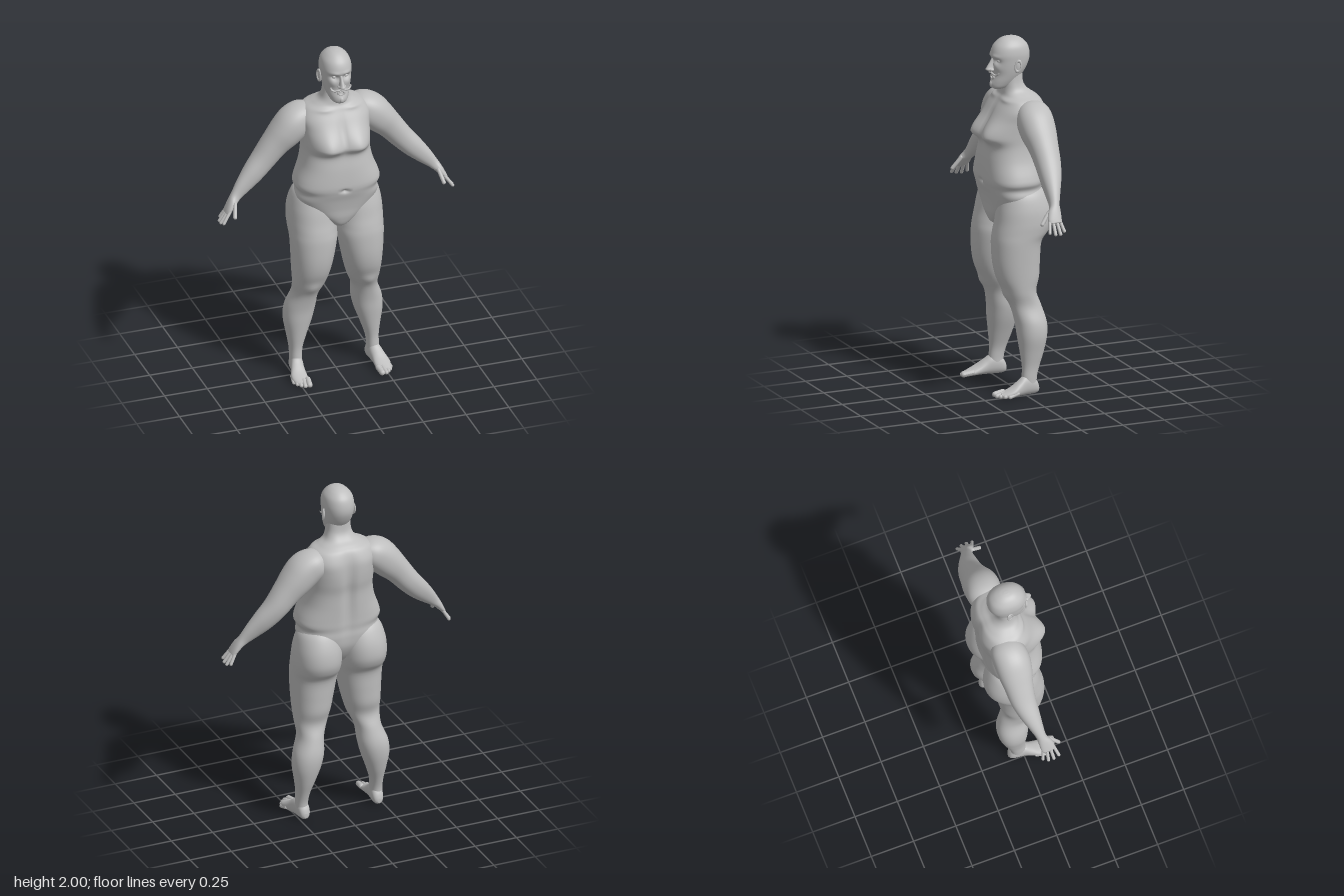
import * as THREE from 'three';

const skin = new THREE.MeshStandardMaterial({ color: 0xbebebe });
skin.name = 'plain grey';

// Catmull-Rom blend of two neighbouring stations
function blend(rows, t) {
  const i = Math.min(Math.floor(t), rows.length - 2), f = t - i;
  const at = (k) => rows[Math.max(0, Math.min(rows.length - 1, k))];
  const [a, b, c, d] = [at(i - 1), at(i), at(i + 1), at(i + 2)];
  return b.map((_, k) => b[k] + 0.5 * f * (c[k] - a[k] + f * (2 * a[k] - 5 * b[k] + 4 * c[k] - d[k]
    + f * (3 * (b[k] - c[k]) + d[k] - a[k]))));
}

// Skin over stations [x, y, halfWidth, zFront, zBack] listed top to bottom.
// Bumps are [side, x, y, spreadX, spreadUp, spreadDown, height], pushed along z.
function loft(rows, { seg = 40, steps = 5, power = 2.2, tilt = false, bumps = [] } = {}) {
  const n = (rows.length - 1) * steps, pos = [], index = [];
  const pw = (v) => Math.sign(v) * Math.abs(v) ** (2 / power);
  for (let i = 0; i <= n; i++) {
    const [x, y, r, zf, zb] = blend(rows, i / steps);
    let ax = 1, ay = 0;
    if (tilt) {
      const p = blend(rows, Math.max(0, i - 1) / steps), q = blend(rows, Math.min(n, i + 1) / steps);
      const len = Math.hypot(q[0] - p[0], q[1] - p[1]);
      ax = (p[1] - q[1]) / len;
      ay = (q[0] - p[0]) / len;
    }
    for (let j = 0; j < seg; j++) {
      const a = (j / seg) * Math.PI * 2, u = pw(Math.cos(a)) * r, s = Math.sin(a);
      const px = x + ax * u, py = y + ay * u;
      let pz = (zf + zb) / 2 + pw(s) * (zf - zb) / 2;
      for (const [side, bx, by, sx, up, down, h] of bumps) {
        if (side * s <= 0) continue;
        const dy = (py - by) / (py > by ? up : down), dx = (px - bx) / sx;
        pz += side * h * Math.sqrt(Math.abs(s)) * Math.exp(-dx * dx - dy * dy);
      }
      pos.push(px, py, pz);
    }
  }
  for (let i = 0; i < n; i++) for (let j = 0; j < seg; j++) {
    const k = (j + 1) % seg, a = i * seg + j, b = i * seg + k;
    index.push(a, b, a + seg, b, b + seg, a + seg);
  }
  // end caps
  for (const [row, first] of [[rows[0], 0], [rows[rows.length - 1], n * seg]]) {
    const c = pos.length / 3;
    pos.push(row[0], row[1], (row[3] + row[4]) / 2);
    for (let j = 0; j < seg; j++) {
      const a = first + j, b = first + (j + 1) % seg;
      index.push(c, ...(first ? [a, b] : [b, a]));
    }
  }
  const g = new THREE.BufferGeometry();
  g.setAttribute('position', new THREE.Float32BufferAttribute(pos, 3));
  g.setIndex(index);
  g.computeVertexNormals();
  return g;
}

// Rounded rod between two points
function rod(a, b, r) {
  const p = new THREE.Vector3(...a), q = new THREE.Vector3(...b), d = q.clone().sub(p);
  const g = new THREE.CapsuleGeometry(r, d.length(), 5, 12);
  g.applyQuaternion(new THREE.Quaternion().setFromUnitVectors(new THREE.Vector3(0, 1, 0), d.normalize()));
  return g.translate(...p.add(q).multiplyScalar(0.5).toArray());
}

function ball(x, y, z, rx, ry, rz) {
  return new THREE.SphereGeometry(1, 20, 14).scale(rx, ry, rz).translate(x, y, z);
}

function mirrored(g) {
  const m = g.clone().scale(-1, 1, 1), ix = m.index.array;
  for (let i = 0; i < ix.length; i += 3) [ix[i], ix[i + 1]] = [ix[i + 1], ix[i]];
  m.computeVertexNormals();
  return m;
}

const both = (x, ...rest) => [[1, x, ...rest], [1, -x, ...rest]];

export function createModel() {
  const model = new THREE.Group();
  model.name = 'standingMan';
  const add = (name, g) => {
    const m = new THREE.Mesh(g, skin);
    m.name = name;
    model.add(m);
  };
  const pair = (name, g) => {
    add(name + 'Left', g);
    add(name + 'Right', mirrored(g));
  };

  // neck, chest, belly and lower apron
  add('torso', loft([
    [0, 1.80, 0.065, 0.03, -0.075], [0, 1.74, 0.072, 0.035, -0.08], [0, 1.70, 0.088, 0.04, -0.105],
    [0, 1.675, 0.125, 0.045, -0.14], [0, 1.65, 0.172, 0.06, -0.165], [0, 1.60, 0.20, 0.09, -0.183],
    [0, 1.54, 0.195, 0.115, -0.188], [0, 1.47, 0.19, 0.138, -0.186], [0, 1.40, 0.19, 0.145, -0.175],
    [0, 1.32, 0.205, 0.158, -0.17], [0, 1.24, 0.235, 0.165, -0.165], [0, 1.20, 0.243, 0.165, -0.163],
    [0, 1.165, 0.228, 0.158, -0.16], [0, 1.12, 0.235, 0.145, -0.16], [0, 1.06, 0.20, 0.133, -0.15],
    [0, 1.00, 0.125, 0.125, -0.12], [0, 0.95, 0.05, 0.105, -0.08], [0, 0.925, 0.015, 0.06, -0.04],
  ], {
    seg: 96, steps: 7, power: 2.5,
    bumps: [
      ...both(0.10, 1.455, 0.085, 0.09, 0.035, 0.058), // chest
      ...both(0.09, 1.655, 0.05, 0.012, 0.012, 0.008), // collar bones
      [1, 0, 1.19, 0.013, 0.012, 0.012, -0.02], // navel
      [1, 0, 1.50, 0.018, 0.12, 0.07, -0.012], // breastbone
      [-1, 0, 1.40, 0.03, 0.22, 0.25, -0.022], // spine
      [-1, 0.10, 1.57, 0.06, 0.06, 0.10, 0.008], [-1, -0.10, 1.57, 0.06, 0.06, 0.10, 0.008],
    ],
  }));

  // legs with buttocks, knees and calves
  pair('leg', loft([
    [0.12, 1.18, 0.06, 0.05, -0.11], [0.125, 1.14, 0.11, 0.09, -0.15], [0.132, 1.06, 0.13, 0.115, -0.183],
    [0.136, 0.98, 0.134, 0.13, -0.19], [0.136, 0.92, 0.133, 0.143, -0.17], [0.136, 0.86, 0.13, 0.15, -0.128],
    [0.143, 0.75, 0.117, 0.148, -0.117], [0.15, 0.66, 0.105, 0.13, -0.11], [0.158, 0.58, 0.092, 0.092, -0.09],
    [0.173, 0.50, 0.073, 0.06, -0.115], [0.193, 0.41, 0.085, 0.038, -0.138], [0.206, 0.33, 0.08, 0.03, -0.136],
    [0.215, 0.24, 0.057, 0.02, -0.115], [0.222, 0.16, 0.038, 0.012, -0.088], [0.225, 0.10, 0.034, 0.015, -0.072],
    [0.225, 0.05, 0.034, 0.02, -0.07],
  ], { seg: 48, bumps: [[1, 0.165, 0.565, 0.04, 0.035, 0.035, 0.014]] }));

  // feet: lofted heel to toe, then laid along z
  pair('foot', loft([
    [0.235, 0.15, 0.033, 0, -0.026], [0.24, 0.12, 0.043, 0, -0.036], [0.242, 0.08, 0.046, 0, -0.055],
    [0.236, 0.04, 0.04, 0, -0.083], [0.228, 0, 0.036, 0, -0.11], [0.223, -0.05, 0.034, 0, -0.10],
    [0.222, -0.075, 0.026, -0.005, -0.07], [0.222, -0.086, 0.01, -0.015, -0.04],
  ], { seg: 28 }).rotateX(Math.PI / 2));
  [[0.212, 0.173, 0.016], [0.237, 0.172, 0.012], [0.255, 0.157, 0.0115], [0.271, 0.137, 0.011], [0.283, 0.112, 0.0105]]
    .forEach(([x, z, r], i) => pair('toe' + (i + 1), rod([x - 0.006, 0.024, z - 0.05], [x, r, z], r)));

  // arms running into the palms
  pair('arm', loft([
    [0.12, 1.61, 0.05, -0.01, -0.14], [0.165, 1.59, 0.082, 0.02, -0.165], [0.22, 1.555, 0.096, 0.035, -0.168],
    [0.275, 1.50, 0.09, 0.032, -0.163], [0.335, 1.435, 0.076, 0.015, -0.15], [0.40, 1.355, 0.067, 0.005, -0.137],
    [0.465, 1.285, 0.06, 0.004, -0.112], [0.525, 1.225, 0.047, 0.002, -0.08], [0.573, 1.175, 0.032, 0.004, -0.055],
    [0.60, 1.145, 0.024, 0.025, -0.05], [0.625, 1.11, 0.017, 0.035, -0.046], [0.64, 1.09, 0.011, 0.03, -0.04],
  ], { tilt: true }));
  [[0.026, 0.668, 1.047, 0.043], [0.006, 0.675, 1.038, 0.012], [-0.014, 0.673, 1.036, -0.019], [-0.033, 0.66, 1.047, -0.047]]
    .forEach(([z, x, y, tip], i) => pair('finger' + (i + 1), rod([0.626, 1.105, z], [x, y, tip], 0.0095)));
  pair('thumb', rod([0.594, 1.145, 0.018], [0.61, 1.085, 0.064], 0.011));

  // head with brows, eye sockets and chin
  add('head', loft([
    [0, 2.0, 0.008, 0.0, -0.025], [0, 1.994, 0.032, 0.03, -0.053], [0, 1.978, 0.056, 0.057, -0.083],
    [0, 1.95, 0.077, 0.083, -0.109], [0, 1.91, 0.086, 0.098, -0.121], [0, 1.87, 0.085, 0.097, -0.12],
    [0, 1.83, 0.081, 0.094, -0.105], [0, 1.79, 0.073, 0.091, -0.08], [0, 1.75, 0.06, 0.10, -0.045],
    [0, 1.72, 0.044, 0.10, 0.0], [0, 1.707, 0.022, 0.085, 0.03],
  ], {
    seg: 72, steps: 7,
    bumps: [
      ...both(0.034, 1.872, 0.021, 0.014, 0.016, -0.02), // sockets
      ...both(0.034, 1.898, 0.026, 0.01, 0.01, 0.006), // brows
      ...both(0.048, 1.835, 0.02, 0.02, 0.02, 0.006), // cheeks
      [1, 0, 1.74, 0.022, 0.015, 0.02, 0.006],
    ],
  }));
  pair('eye', ball(0.034, 1.872, 0.066, 0.014, 0.011, 0.014));
  add('nose', loft([
    [0, 1.885, 0.009, 0.098, 0.07], [0, 1.86, 0.010, 0.112, 0.07], [0, 1.835, 0.014, 0.128, 0.07],
    [0, 1.82, 0.019, 0.134, 0.07], [0, 1.808, 0.012, 0.112, 0.07],
  ], { seg: 24 }));
  pair('nostril', ball(0.014, 1.82, 0.103, 0.010, 0.009, 0.014));
  add('lips', new THREE.TorusGeometry(0.014, 0.006, 8, 24).scale(1.25, 0.8, 1).translate(0, 1.777, 0.094));
  add('chinTuft', ball(0, 1.735, 0.1, 0.013, 0.018, 0.011));

  // upturned moustache
  pair('moustache', new THREE.TubeGeometry(new THREE.CatmullRomCurve3([
    [0, 1.802, 0.103], [0.022, 1.797, 0.1], [0.042, 1.793, 0.092], [0.056, 1.803, 0.085], [0.06, 1.815, 0.082],
  ].map((p) => new THREE.Vector3(...p))), 20, 0.0055, 8));

  // ears: rim and lobe
  const placeEar = (g) => g.rotateY(Math.PI / 2 - 0.35).rotateX(-0.15).translate(0.09, 1.845, -0.022);
  pair('earRim', placeEar(new THREE.TorusGeometry(0.019, 0.006, 8, 24).scale(0.85, 1.55, 1)));
  pair('earBowl', placeEar(ball(0, -0.004, -0.003, 0.016, 0.029, 0.006)));

  return model;
}
